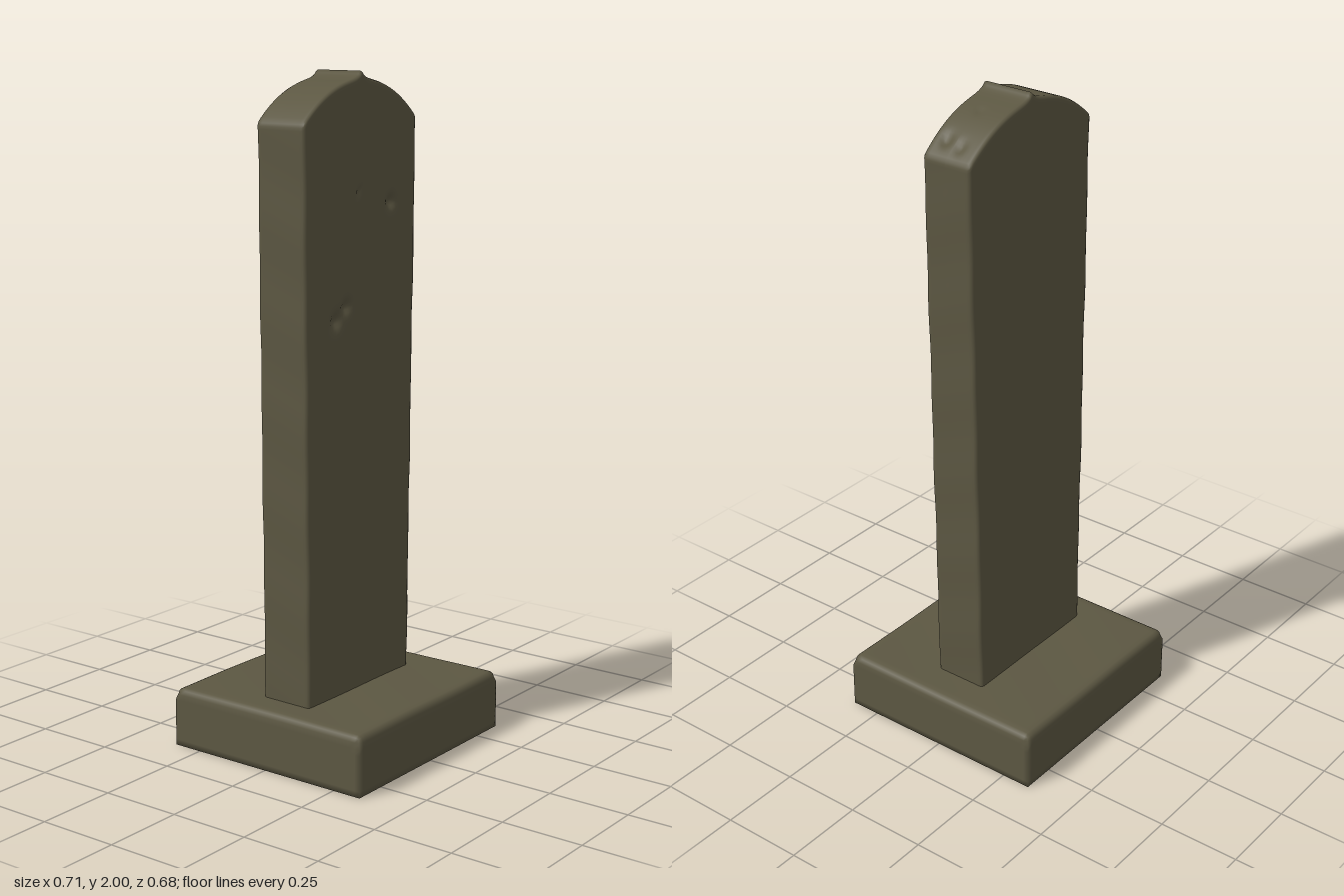
import * as THREE from 'three';
import { mergeVertices } from 'three/addons/utils/BufferGeometryUtils.js';

const clamp = THREE.MathUtils.clamp;
const lerp = THREE.MathUtils.lerp;

// Dense box with softened edges; each vertex is then moved by a rule.
function carvedBox(w, h, d, segments, radius, roundSides, rule) {
  let geo = new THREE.BoxGeometry(w, h, d, ...segments);
  geo.translate(0, h / 2, 0);
  geo.deleteAttribute('uv');
  geo.deleteAttribute('normal');
  const pos = geo.attributes.position;
  const p = new THREE.Vector3();
  const core = new THREE.Vector3();
  for (let i = 0; i < pos.count; i++) {
    p.fromBufferAttribute(pos, i);
    core.set(
      clamp(p.x, -w / 2 + radius, w / 2 - radius),
      Math.min(p.y, h - radius),
      clamp(p.z, -d / 2 + radius, d / 2 - radius)
    );
    const offset = p.clone().sub(core);
    if (offset.length() > radius && (roundSides || offset.y > 0)) {
      p.copy(core).add(offset.setLength(radius));
    }
    rule(p);
    pos.setXYZ(i, p.x, p.y, p.z);
  }
  geo = mergeVertices(geo, 1e-5);
  geo.computeVertexNormals();
  return geo;
}

// Pointed ogee outline of the slab's top
function crown(x) {
  const a = Math.abs(x) / 0.265;
  return 1.977 - 0.115 * a ** 2.2 + 0.023 * Math.exp(-Math.abs(x) / 0.02);
}

// Weathered pits in the front face: x, y, radius, depth
const pits = [
  [-0.12, 1.3, 0.03, 0.018],
  [-0.075, 1.335, 0.026, 0.016],
  [0.14, 1.62, 0.026, 0.016],
  [-0.015, 1.66, 0.013, 0.008]
];

// Chips in the top face: x, z, radius, depth
const chips = [
  [0.225, -0.02, 0.02, 0.008],
  [0.215, 0.04, 0.022, 0.012],
  [0.11, 0.01, 0.018, 0.004]
];

const hollow = (u, v, r) => Math.exp(-(u * u + v * v) / (r * r * 0.6));

function shapeSlab(p) {
  const t = p.y / 1.8;
  const x = p.x;
  // Bevelled rows keep their offset while the top follows the crown
  p.y = 0.17 + t * (crown(x) - 0.17);
  const topness = THREE.MathUtils.smoothstep(t, 0.97, 1);
  for (const [cx, cz, r, depth] of chips) {
    p.y -= topness * depth * hollow(x - cx, p.z - cz, r);
  }
  // Sides flare gently upward, a little unevenly
  const side = x < 0 ? lerp(0.255, 0.27, t) : lerp(0.24, 0.267, t);
  p.x = (x / 0.265) * side;
  p.x += 0.0012 * Math.sin(p.y * 23 + p.z * 9) * Math.abs(x / 0.265);
  // The back is slightly worn at one shoulder
  const front = p.z > 0;
  p.z += front ? 0.004 : 0.004 + 0.008 * t * Math.max(0, x / 0.265) ** 2;
  p.z += 0.0008 * Math.sin(p.x * 17 + p.y * 11);
  if (p.z > 0.04) {
    for (const [cx, cy, r, depth] of pits) {
      p.z -= depth * hollow(p.x - cx, p.y - cy, r);
    }
  }
}

export function createModel() {
  const model = new THREE.Group();
  model.name = 'standingStone';
  const stone = new THREE.MeshStandardMaterial({ color: 0x5c5742 });
  stone.name = 'mossy stone';

  // Square plinth with a softened upper rim
  const plinth = new THREE.Mesh(
    carvedBox(0.708, 0.18, 0.684, [40, 10, 40], 0.02, false, (p) => {
      p.y += p.y > 0.1 ? 0.0008 * Math.sin(p.x * 14 + p.z * 9) : 0;
    }),
    stone
  );
  plinth.name = 'plinth';

  // Tall upright slab
  const slab = new THREE.Mesh(
    carvedBox(0.53, 1.8, 0.168, [60, 190, 18], 0.01, true, shapeSlab),
    stone
  );
  slab.name = 'slab';

  model.add(plinth, slab);
  return model;
}
